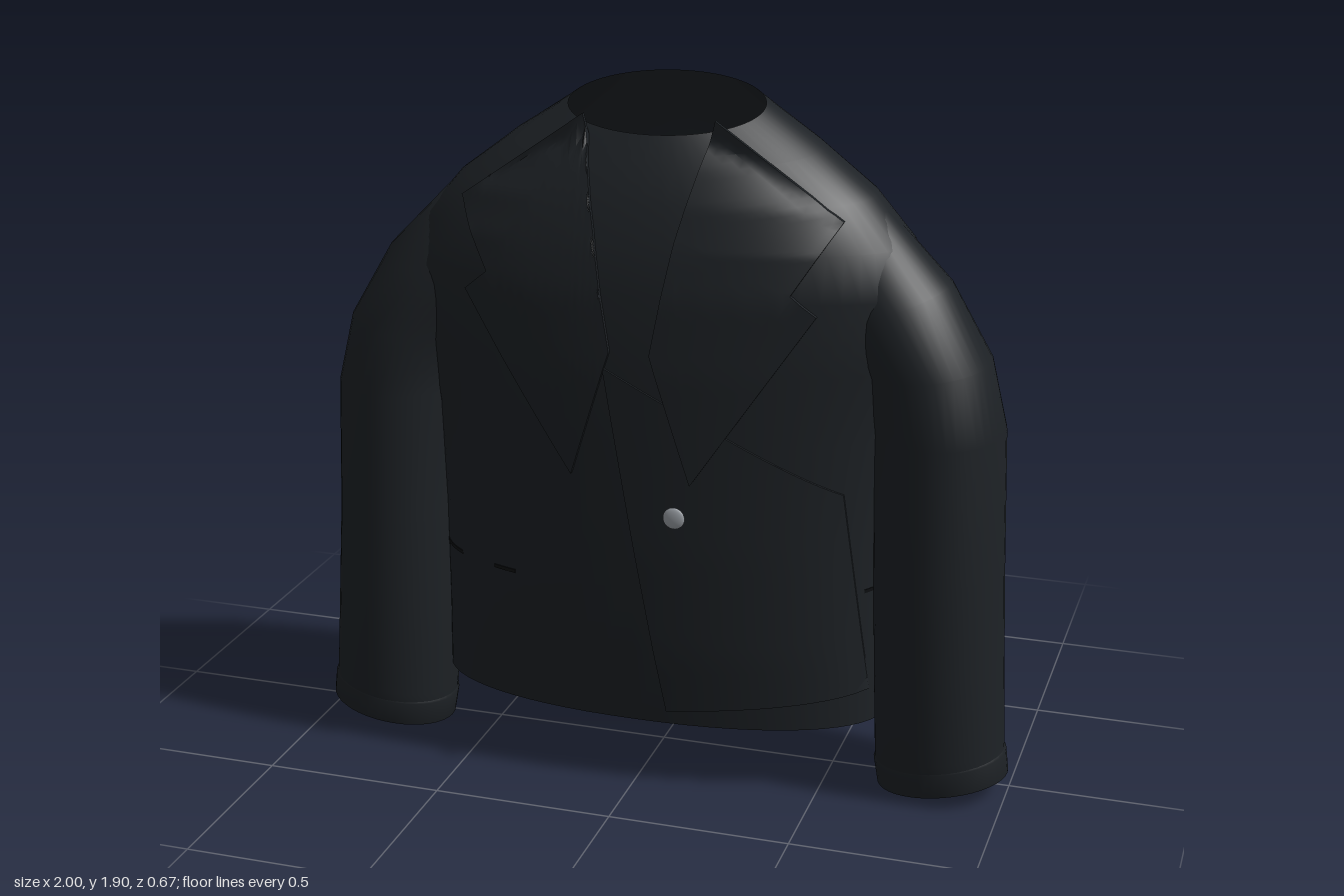
import * as THREE from 'three';
import { mergeVertices, toCreasedNormals } from 'three/addons/utils/BufferGeometryUtils.js';

const cloth = new THREE.MeshStandardMaterial({ color: 0x1d2125, side: THREE.DoubleSide });
const dark = new THREE.MeshStandardMaterial({ color: 0x0c0e10, side: THREE.DoubleSide });
const metal = new THREE.MeshStandardMaterial({ color: 0x9a9fa5 });

const ZC = -0.02; // depth of the side seams

// Body rings: height, half width, front z, back z, tilt towards the back, roundness exponent
const rings = [
  [0.18, 0.645, 0.262, -0.3, 0, 2.2],
  [0.4, 0.64, 0.285, -0.315, 0, 2.2],
  [0.7, 0.64, 0.3, -0.328, 0, 2.2],
  [1.0, 0.655, 0.303, -0.33, 0, 2.2],
  [1.2, 0.69, 0.303, -0.325, 0, 2.2],
  [1.4, 0.74, 0.29, -0.313, 0, 2.2],
  [1.52, 0.68, 0.265, -0.297, 0, 2.2],
  [1.64, 0.575, 0.228, -0.27, 0.04, 2.2],
  [1.75, 0.425, 0.185, -0.232, 0.15, 2.1],
  [1.842, 0.27, 0.14, -0.185, 0.34, 2],
];

// Skin a list of closed loops of points
function loft(loops) {
  const n = loops[0].length, index = [];
  for (let i = 0; i < loops.length - 1; i++) {
    for (let j = 0; j < n; j++) {
      const a = i * n + j, b = i * n + (j + 1) % n;
      index.push(a, a + n, b, b, a + n, b + n);
    }
  }
  const g = new THREE.BufferGeometry().setFromPoints(loops.flat());
  g.setIndex(index);
  g.computeVertexNormals();
  return g;
}

function add(group, name, geometry, material = cloth) {
  const mesh = new THREE.Mesh(geometry, material);
  mesh.name = name;
  group.add(mesh);
  return mesh;
}

const power = (v, e) => Math.sign(v) * Math.abs(v) ** e;

function bodyLoop([y, a, front, back, tilt, n]) {
  return Array.from({ length: 64 }, (_, j) => {
    const t = (j / 64) * Math.PI * 2, s = Math.sin(t);
    const z = ZC + power(s, 2 / n) * (s > 0 ? front - ZC : ZC - back);
    return new THREE.Vector3(a * power(Math.cos(t), 2 / n), y - tilt * z, z);
  });
}

// Depth of the front (side 1) or back (side -1) of the body at x, y
function bodyZ(x, y, side = 1) {
  const pts = rings.map(([h, a, f, b, tilt, n]) => {
    const k = Math.max(0, 1 - Math.abs(x / a) ** n) ** (1 / n);
    const z = ZC + k * ((side > 0 ? f : b) - ZC);
    return [h - tilt * z, z];
  });
  if (y <= pts[0][0]) return pts[0][1];
  for (let i = 1; i < pts.length; i++) {
    const [y0, z0] = pts[i - 1], [y1, z1] = pts[i];
    if (y <= y1) return z0 + (z1 - z0) * (y - y0) / (y1 - y0);
  }
  return pts.at(-1)[1];
}

// Split every triangle into four
function subdivide(points) {
  const out = [];
  for (let i = 0; i < points.length; i += 3) {
    const [a, b, c] = points.slice(i, i + 3);
    const ab = a.clone().lerp(b, 0.5), bc = b.clone().lerp(c, 0.5), ca = c.clone().lerp(a, 0.5);
    out.push(a, ab, ca, ab, b, bc, ca, bc, c, ab, bc, ca);
  }
  return out;
}

// Flat outline draped over the front of the body
function drape(outline, thickness, offset, minZ = -1) {
  const shape = new THREE.Shape(outline.map(([x, y]) => new THREE.Vector2(x, y)));
  const g = new THREE.ExtrudeGeometry(shape, { depth: thickness, bevelEnabled: false });
  const p = g.attributes.position;
  let pts = Array.from({ length: p.count }, (_, i) => new THREE.Vector3().fromBufferAttribute(p, i));
  for (let i = 0; i < 4; i++) pts = subdivide(pts);
  const draped = pts.map(({ x, y, z }) =>
    new THREE.Vector3(x, y, z + offset + Math.max(minZ, bodyZ(x, y))));
  return toCreasedNormals(mergeVertices(new THREE.BufferGeometry().setFromPoints(draped), 1e-4), 0.7);
}

// Sleeve sections: inner x, y, outer x, y, centre z, half depth
const sleeveSections = [
  [0.3, 1.45, 0.42, 1.66, -0.02, 0.1],
  [0.38, 1.38, 0.6, 1.61, -0.01, 0.14],
  [0.46, 1.3, 0.785, 1.42, 0, 0.175],
  [0.56, 1.18, 0.9, 1.22, 0.005, 0.195],
  [0.592, 1.02, 0.945, 1.03, 0.005, 0.205],
  [0.605, 0.65, 0.958, 0.65, 0.01, 0.2],
  [0.618, 0.35, 0.972, 0.37, 0.025, 0.185],
  [0.63, 0.1, 0.985, 0.15, 0.038, 0.163],
  [0.633, 0.07, 0.988, 0.125, 0.04, 0.158],
];
const cuffSections = [
  [0.64, 0.09, 0.98, 0.14, 0.04, 0.15],
  [0.628, 0.07, 0.992, 0.125, 0.04, 0.16],
  [0.64, 0.0, 1.0, 0.06, 0.04, 0.155],
  [0.652, 0.005, 0.988, 0.06, 0.04, 0.145],
  [0.65, 0.07, 0.98, 0.12, 0.04, 0.145],
];

function sleeveLoop([xi, yi, xo, yo, z, depth]) {
  return Array.from({ length: 40 }, (_, j) => {
    const t = (j / 40) * Math.PI * 2, k = 0.5 + 0.5 * Math.cos(t);
    return new THREE.Vector3(xi + (xo - xi) * k, yi + (yo - yi) * k, z + depth * Math.sin(t));
  });
}

export function createModel() {
  const jacket = new THREE.Group();
  jacket.name = 'jacket';

  add(jacket, 'body', loft(rings.map(bodyLoop)));

  // Sleeves, cuffs and lapels, mirrored left and right
  const lapel = [[0.18, 1.84], [0.525, 1.6], [0.415, 1.425], [0.482, 1.37],
    [0.165, 0.9], [0.055, 1.25], [0.11, 1.55]];
  for (const [side, m] of [['left', 1], ['right', -1]]) {
    const mirror = (sections) => sections.map(([a, b, c, ...rest]) => [a * m, b, c * m, ...rest]);
    const order = (list) => (m > 0 ? list.slice().reverse() : list);
    add(jacket, side + 'Sleeve', loft(order(mirror(sleeveSections)).map(sleeveLoop)));
    add(jacket, side + 'Cuff', loft(order(mirror(cuffSections)).map(sleeveLoop)));
    add(jacket, side + 'Lapel', drape(lapel.map(([x, y]) => [x * m, y]), 0.012, 0.002, 0.125));
  }

  // Overlapping front panel
  add(jacket, 'frontPanel', drape([[-0.075, 1.205], [0.25, 1.04], [0.55, 0.87], [0.615, 0.28], [0.09, 0.22]], 0.007, 0));

  // Pocket slits
  for (const [x0, x1] of [[-0.62, -0.54], [-0.42, -0.35], [0.6, 0.62]]) {
    add(jacket, 'pocketSlit', drape([[x0, 0.57], [x1, 0.57], [x1, 0.58], [x0, 0.58]], 0.003, 0), dark);
  }

  // Centre back seam
  const seam = [];
  for (let y = 0.2; y < 1.66; y += 0.06) seam.push(new THREE.Vector3(0, y, bodyZ(0, y, -1)));
  add(jacket, 'backSeam', new THREE.TubeGeometry(new THREE.CatmullRomCurve3(seam), 60, 0.003, 5), dark);

  // Button
  const button = add(jacket, 'button', new THREE.SphereGeometry(0.03, 24, 16), metal);
  button.scale.z = 0.3;
  button.position.set(0.13, 0.815, 0.332);

  return jacket;
}
